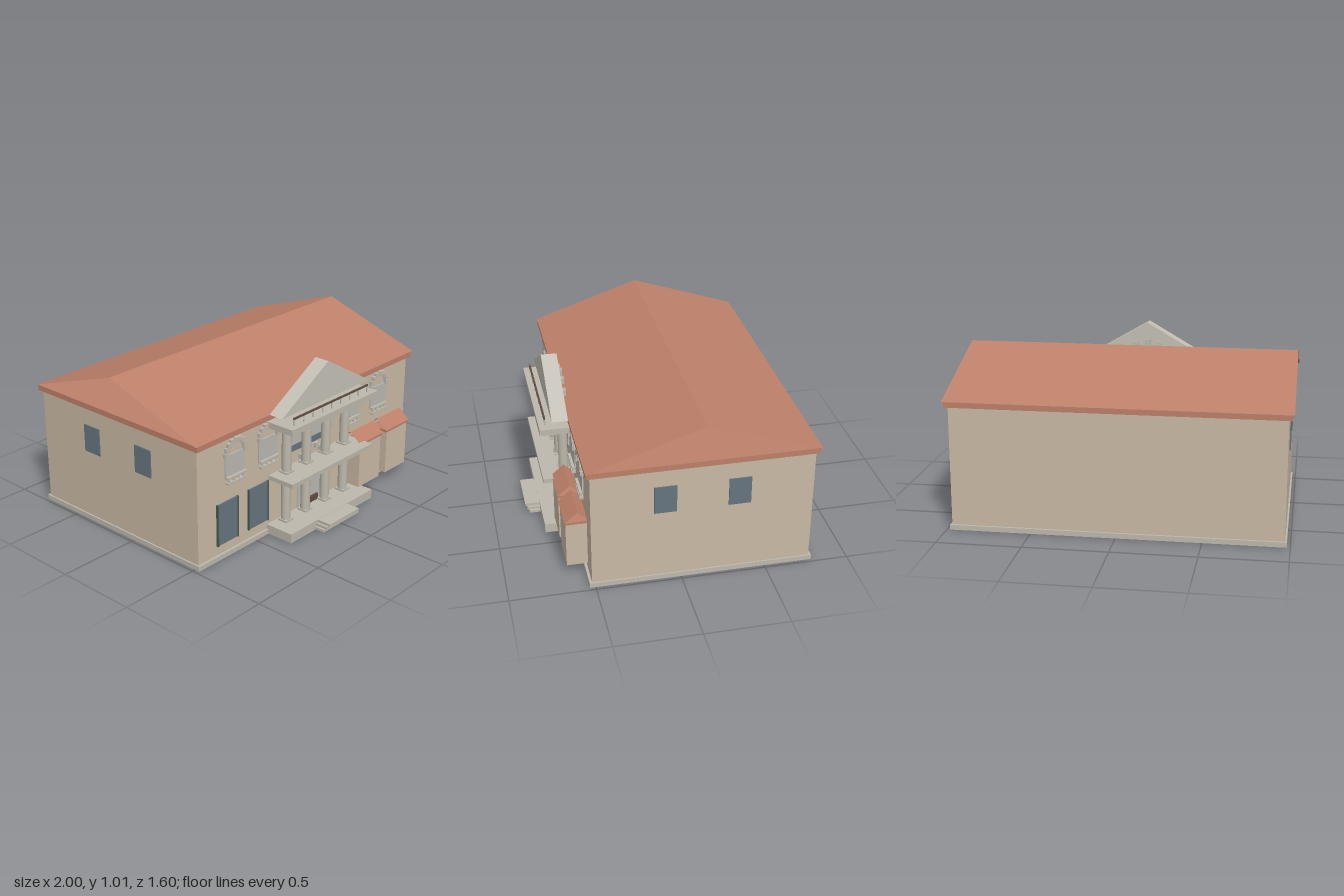
import * as THREE from 'three';

const mat = (color, extra = {}) => new THREE.MeshStandardMaterial({ color, ...extra });

export function createModel() {
  const house = new THREE.Group();
  house.name = 'columnedHouse';

  const wall = mat(0xc8b9a4);
  const stone = mat(0xbdb8ac);
  const pane = mat(0xbab8b2);
  const glass = mat(0x66747f);
  const frame = mat(0x4a5a55);
  const wood = mat(0x5f4c42);
  const tile = mat(0xbd8069);
  const tileSheet = mat(0xbd8069, { side: THREE.DoubleSide, flatShading: true });

  // Box given by its extents on each axis
  function block(name, material, [x0, x1], [y0, y1], [z0, z1], parent = house) {
    const mesh = new THREE.Mesh(new THREE.BoxGeometry(x1 - x0, y1 - y0, z1 - z0), material);
    mesh.position.set((x0 + x1) / 2, (y0 + y1) / 2, (z0 + z1) / 2);
    mesh.name = name;
    parent.add(mesh);
    return mesh;
  }

  function rod(name, material, radius, height, x, y, z, parent = house, sides = 20) {
    const mesh = new THREE.Mesh(new THREE.CylinderGeometry(radius, radius, height, sides), material);
    mesh.position.set(x, y + height / 2, z);
    mesh.name = name;
    parent.add(mesh);
    return mesh;
  }

  // Two thin slopes meeting at a ridge along x, open at the ends
  function gableSheets(name, [x0, x1], [y0, y1], [z0, z1]) {
    const zr = (z0 + z1) / 2;
    const geometry = new THREE.BufferGeometry();
    geometry.setAttribute('position', new THREE.Float32BufferAttribute([
      x0, y0, z1, x1, y0, z1, x1, y1, zr, x0, y1, zr,
      x1, y0, z0, x0, y0, z0, x0, y1, zr, x1, y1, zr,
    ], 3));
    geometry.setIndex([0, 1, 2, 0, 2, 3, 4, 5, 6, 4, 6, 7]);
    geometry.computeVertexNormals();
    const mesh = new THREE.Mesh(geometry, tileSheet);
    mesh.name = name;
    house.add(mesh);
  }

  // Half ring of small square stones
  function stoneArch(name, cx, cy, radius, size, z0 = 0.52, z1 = 0.54) {
    const arch = new THREE.Group();
    arch.name = name;
    for (let i = 0; i <= 8; i++) {
      const a = Math.PI * i / 8;
      const x = cx + radius * Math.cos(a), y = cy + radius * Math.sin(a);
      block('archStone', stone, [x - size / 2, x + size / 2], [y - size / 2, y + size / 2], [z0, z1], arch);
    }
    house.add(arch);
  }

  // Main body
  block('plinth', stone, [-0.98, 0.98], [0, 0.03], [-0.785, 0.535]);
  block('walls', wall, [-0.97, 0.97], [0.02, 0.75], [-0.77, 0.52]);
  block('eaves', tile, [-0.99, 0.99], [0.74, 0.774], [-0.79, 0.543]);
  gableSheets('mainRoof', [-1, 1], [0.775, 1.0], [-0.8, 0.546]);

  // Side windows
  for (const side of [-1, 1]) {
    for (const z of [0.095, -0.335]) {
      const x = side * 0.97;
      block('sideWindow', glass, [x - 0.007, x + 0.007], [0.456, 0.627], [z - 0.065, z + 0.065]);
    }
  }

  // Upper windows with stone arches and small balustrades
  for (const x of [-0.67, -0.39, 0.39, 0.67]) {
    block('upperWindow', pane, [x - 0.08, x + 0.08], [0.5, 0.63], [0.515, 0.528]);
    stoneArch('upperWindowArch', x, 0.635, 0.078, 0.028);
    block('balconySill', stone, [x - 0.075, x + 0.075], [0.452, 0.466], [0.52, 0.545]);
    block('balconyRail', stone, [x - 0.08, x + 0.08], [0.488, 0.5], [0.52, 0.545]);
    for (let i = 0; i < 4; i++) {
      rod('baluster', stone, 0.008, 0.024, x - 0.06 + i * 0.04, 0.465, 0.534, house, 8);
    }
  }

  // Ground floor windows
  for (const x of [-0.735, -0.475]) {
    block('lowerWindow', glass, [x - 0.085, x + 0.085], [0.092, 0.35], [0.515, 0.53]);
    for (const side of [-1, 1]) {
      const e = x + side * 0.083;
      block('windowFrameSide', frame, [e - 0.004, e + 0.004], [0.09, 0.352], [0.52, 0.534]);
    }
  }

  // Central window, its arch, and the entrance
  block('centralGlass', glass, [-0.18, 0.18], [0.455, 0.64], [0.515, 0.524]);
  block('centralWindow', pane, [-0.225, 0.225], [0.5, 0.68], [0.515, 0.528]);
  stoneArch('centralArch', 0, 0.68, 0.208, 0.036);
  block('doorway', pane, [-0.115, 0.115], [0.06, 0.31], [0.515, 0.528]);
  block('doorLintel', wood, [-0.115, 0.115], [0.31, 0.317], [0.515, 0.532]);
  block('doorThreshold', wood, [-0.065, 0.065], [0.06, 0.1], [0.52, 0.54]);
  stoneArch('doorArch', 0, 0.315, 0.125, 0.032);

  // Porch platform and steps
  block('porchFloor', stone, [-0.39, 0.39], [0, 0.058], [0.52, 0.71]);
  block('lowerStep', stone, [-0.17, 0.17], [0.006, 0.022], [0.7, 0.777]);
  block('middleStep', stone, [-0.155, 0.155], [0.022, 0.039], [0.7, 0.788]);
  block('topStep', stone, [-0.14, 0.14], [0.039, 0.056], [0.7, 0.8]);

  // Columns on two storeys
  for (const x of [-0.273, -0.092, 0.092, 0.273]) {
    for (const [y0, y1] of [[0.058, 0.352], [0.376, 0.69]]) {
      rod('column', stone, 0.029, y1 - y0, x, y0, 0.567);
      for (const y of [y0, y1 - 0.012]) {
        block('columnCollar', stone, [x - 0.033, x + 0.033], [y, y + 0.012], [0.534, 0.6]);
      }
    }
  }
  block('balconySlab', stone, [-0.38, 0.38], [0.35, 0.377], [0.52, 0.705]);
  block('entablature', stone, [-0.4, 0.4], [0.69, 0.727], [0.52, 0.714]);

  // Railing on the entablature
  for (let i = 0; i <= 8; i++) {
    rod('railingPost', stone, 0.004, 0.045, -0.34 + i * 0.085, 0.727, 0.677, house, 8);
  }
  block('railing', wood, [-0.345, 0.345], [0.765, 0.775], [0.672, 0.682]);

  // Pediment
  const triangle = new THREE.Shape([[-0.405, 0.777], [0.405, 0.777], [0, 1.013]]
    .map(([x, y]) => new THREE.Vector2(x, y)));
  const pediment = new THREE.Mesh(
    new THREE.ExtrudeGeometry(triangle, { depth: 0.095, bevelEnabled: false }), mat(0xc4c0b6));
  pediment.position.z = 0.547;
  pediment.name = 'pediment';
  house.add(pediment);

  // Projecting bays with little tiled roofs
  for (const x of [0.448, 0.728]) {
    block('bay', wall, [x - 0.107, x + 0.107], [0.07, 0.355], [0.51, 0.643]);
    block('bayEaves', tile, [x - 0.116, x + 0.116], [0.355, 0.37], [0.505, 0.647]);
    gableSheets('bayRoof', [x - 0.119, x + 0.119], [0.371, 0.435], [0.5, 0.65]);
  }

  return house;
}
